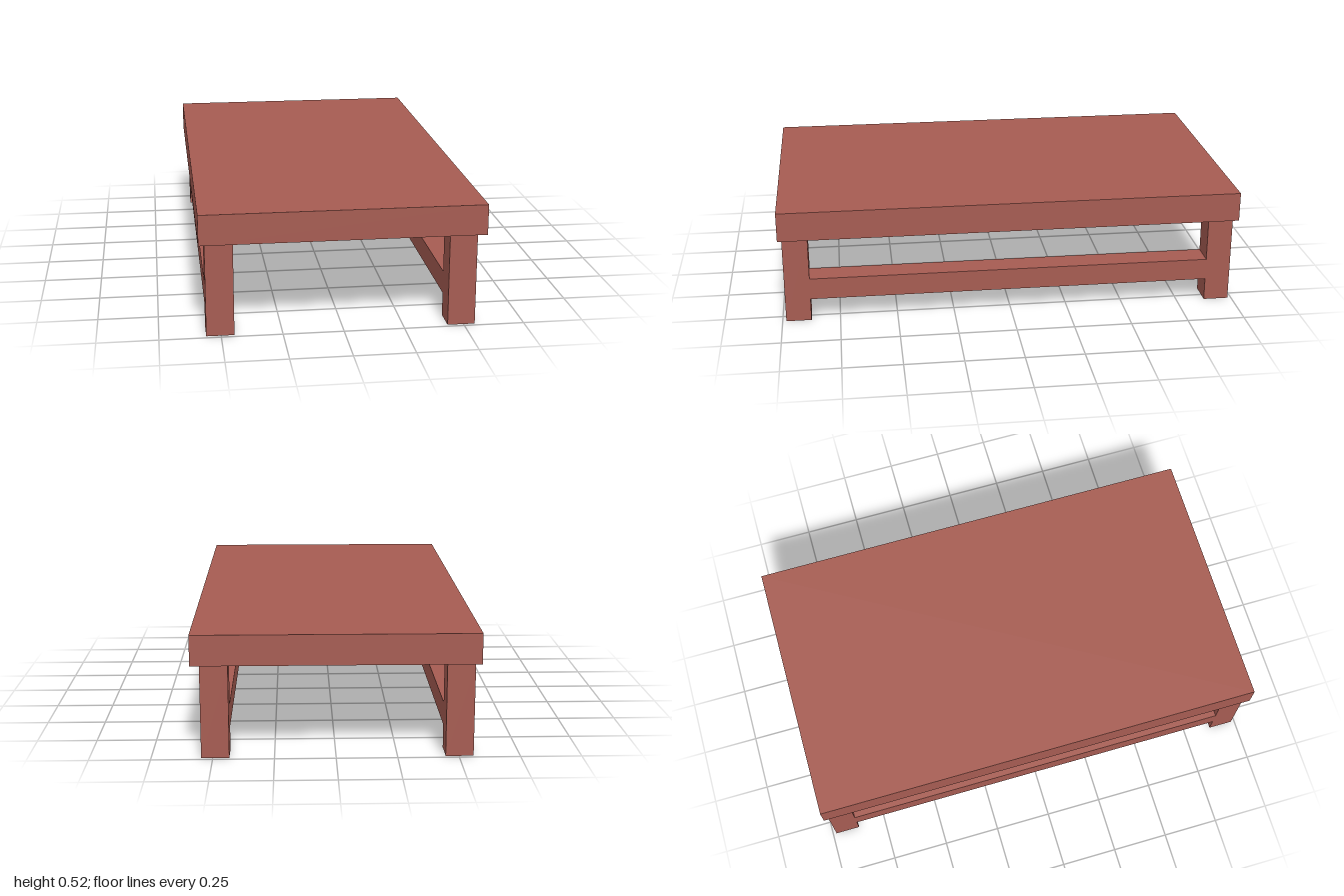
import * as THREE from 'three';

const LEG_WIDTH = 0.114, LEG_TOP = 0.39, TABLE_TOP = 0.517;
const OUTER_Z = 0.984, INNER_Z = 0.875;   // ends and inner faces of the legs
const RAIL_LOW = 0.1, RAIL_HIGH = 0.195;

export function createModel() {
  const model = new THREE.Group();
  model.name = 'lowTable';
  const wood = new THREE.MeshStandardMaterial({ color: 0xa65c52, flatShading: true });

  // Thick slab top
  const thickness = TABLE_TOP - LEG_TOP;
  const top = new THREE.Mesh(new THREE.BoxGeometry(1.168, thickness, 2), wood);
  top.name = 'tableTop';
  top.position.y = LEG_TOP + thickness / 2;
  model.add(top);

  // Side frame profile: two legs joined by a rail, all flush
  const profile = new THREE.Shape([
    [-OUTER_Z, 0], [-INNER_Z, 0], [-INNER_Z, RAIL_LOW], [INNER_Z, RAIL_LOW],
    [INNER_Z, 0], [OUTER_Z, 0], [OUTER_Z, LEG_TOP], [INNER_Z, LEG_TOP],
    [INNER_Z, RAIL_HIGH], [-INNER_Z, RAIL_HIGH], [-INNER_Z, LEG_TOP], [-OUTER_Z, LEG_TOP],
  ].map(([z, y]) => new THREE.Vector2(z, y)));
  const frameGeometry = new THREE.ExtrudeGeometry(profile, { depth: LEG_WIDTH, bevelEnabled: false });
  frameGeometry.translate(0, 0, -LEG_WIDTH / 2).rotateY(-Math.PI / 2);

  // The frames sit slightly off centre under the top
  for (const [name, x] of [['leftLegsAndRail', 0.49], ['rightLegsAndRail', -0.503]]) {
    const frame = new THREE.Mesh(frameGeometry, wood);
    frame.name = name;
    frame.position.x = x;
    model.add(frame);
  }
  return model;
}
